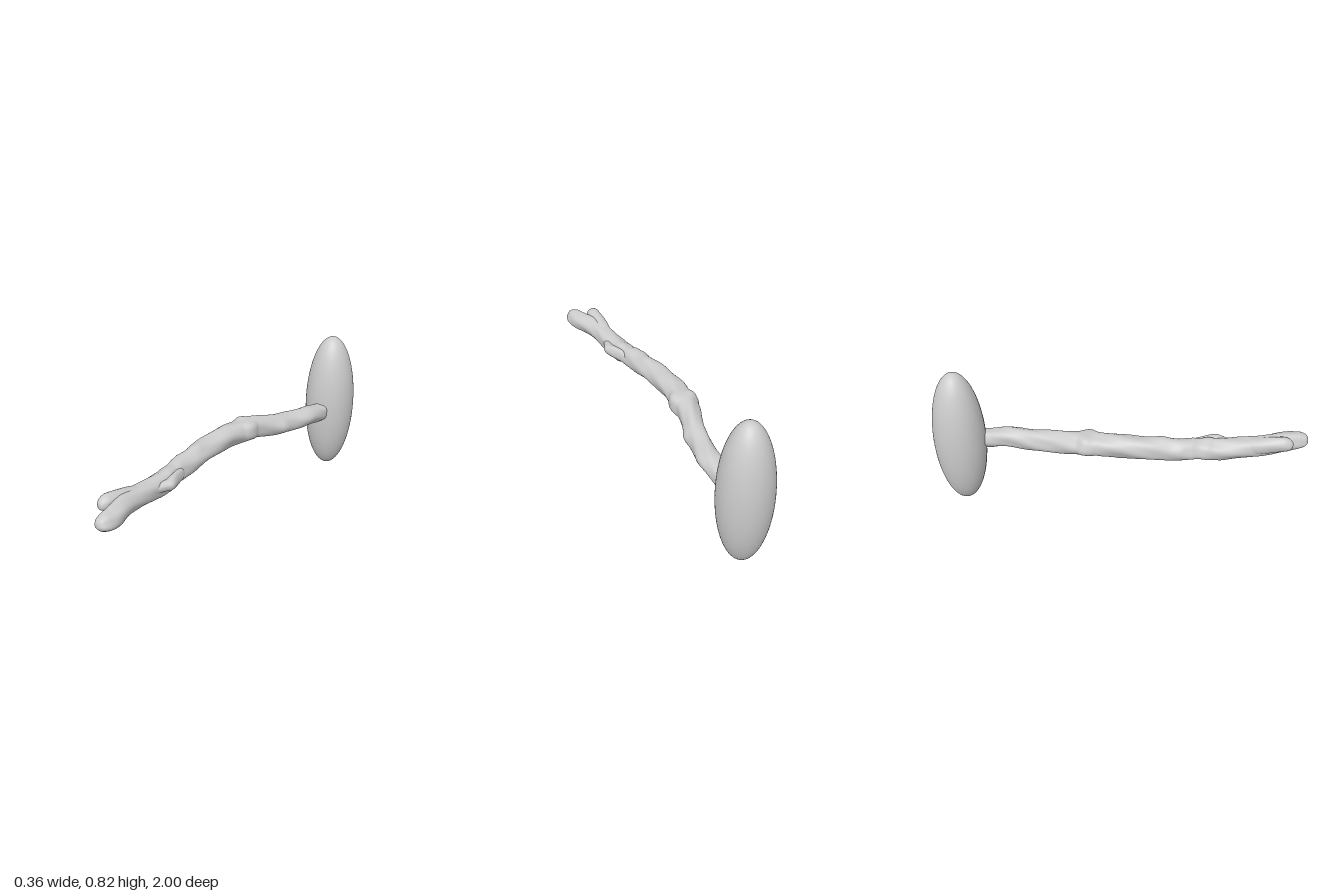
import * as THREE from 'three';

const material = new THREE.MeshStandardMaterial({ color: 0xcccccc, roughness: 0.9 });

// Small bark swellings: [z, angle, height, spread along z, spread in angle]
const swellings = [
  [-0.38, 0.1, 0.012, 0.04, 0.6], [-0.16, 2.2, 0.010, 0.03, 0.5],
  [-0.14, 0.6, 0.008, 0.03, 0.4], [0.02, -1.6, 0.008, 0.03, 0.5],
  [0.34, 2.6, 0.008, 0.03, 0.5], [0.55, -1.7, 0.007, 0.04, 0.6],
  [-0.56, 0.0, 0.006, 0.05, 0.6], [0.24, 1.2, 0.007, 0.04, 0.6],
];

function bark(z, a) {
  let h = 0.0022 * Math.sin(3 * a + 9 * z) + 0.002 * Math.sin(5 * a - 23 * z) + 0.0015 * Math.sin(31 * z + a);
  for (const [z0, a0, height, sz, sa] of swellings) {
    const da = Math.atan2(Math.sin(a - a0), Math.cos(a - a0));
    h += height * Math.exp(-(((z - z0) / sz) ** 2) - (da / sa) ** 2);
  }
  return h;
}

// Smooth loft through elliptical sections [z, x, y, rx, ry]; rough scales the bark relief
function loft(name, sections, rings, sides, rough) {
  const centres = new THREE.CatmullRomCurve3(sections.map(([z, x, y]) => new THREE.Vector3(x, y, z)));
  const radii = new THREE.CatmullRomCurve3(sections.map(([, , , rx, ry]) => new THREE.Vector3(rx, ry, 0)));
  const pos = [], index = [];
  for (let i = 0; i <= rings; i++) {
    const c = centres.getPoint(i / rings), r = radii.getPoint(i / rings);
    for (let j = 0; j < sides; j++) {
      const a = (j / sides) * Math.PI * 2;
      const h = rough * bark(c.z, a) * Math.min(1, r.x / 0.05);
      pos.push(c.x + Math.cos(a) * (Math.max(r.x, 0) + h), c.y + Math.sin(a) * (Math.max(r.y, 0) + h), c.z);
      if (i === rings) continue;
      const p = i * sides + j, q = i * sides + (j + 1) % sides;
      index.push(p, q, p + sides, q, q + sides, p + sides);
    }
  }
  const geo = new THREE.BufferGeometry();
  geo.setAttribute('position', new THREE.Float32BufferAttribute(pos, 3));
  geo.setIndex(index);
  geo.computeVertexNormals();
  const mesh = new THREE.Mesh(geo, material);
  mesh.name = name;
  return mesh;
}

export function createModel() {
  const group = new THREE.Group();
  group.name = 'branchWithEllipsoid';

  // Tall ellipsoid at the back end
  const body = new THREE.Mesh(new THREE.SphereGeometry(1, 64, 40), material);
  body.name = 'ellipsoid';
  body.scale.set(0.141, 0.408, 0.141);
  body.position.set(-0.039, 0.411, -0.859);
  group.add(body);

  // Long crooked branch, its back end buried in the ellipsoid
  group.add(loft('branch', [
    [-0.80, -0.01, 0.395, 0.0, 0.0],
    [-0.79, -0.01, 0.395, 0.043, 0.05],
    [-0.72, -0.005, 0.395, 0.046, 0.053],
    [-0.60, 0.0, 0.413, 0.053, 0.054],
    [-0.40, -0.025, 0.423, 0.055, 0.059],
    [-0.30, -0.045, 0.443, 0.057, 0.061],
    [-0.20, -0.065, 0.458, 0.063, 0.061],
    [-0.10, -0.068, 0.465, 0.063, 0.061],
    [0.00, -0.068, 0.467, 0.061, 0.061],
    [0.20, -0.048, 0.456, 0.060, 0.059],
    [0.40, -0.012, 0.443, 0.058, 0.057],
    [0.50, 0.012, 0.438, 0.058, 0.057],
    [0.60, 0.028, 0.438, 0.057, 0.056],
    [0.70, 0.045, 0.447, 0.053, 0.056],
    [0.80, 0.074, 0.454, 0.054, 0.056],
    [0.89, 0.113, 0.455, 0.053, 0.052],
    [0.95, 0.130, 0.455, 0.046, 0.046],
    [0.985, 0.132, 0.456, 0.034, 0.031],
    [0.998, 0.130, 0.456, 0.016, 0.014],
    [1.0, 0.130, 0.456, 0.0, 0.0],
  ], 190, 40, 1));

  // Shorter prong of the fork at the front
  group.add(loft('forkProng', [
    [0.64, 0.035, 0.452, 0.030, 0.035],
    [0.74, 0.036, 0.465, 0.042, 0.046],
    [0.82, 0.036, 0.481, 0.039, 0.043],
    [0.87, 0.037, 0.489, 0.037, 0.040],
    [0.90, 0.038, 0.487, 0.029, 0.031],
    [0.915, 0.039, 0.485, 0.014, 0.015],
    [0.917, 0.039, 0.485, 0.0, 0.0],
  ], 40, 28, 0.6));

  // Broken twig stub on the left side
  group.add(loft('twigStub', [
    [0.37, 0.025, 0.445, 0.0, 0.0],
    [0.40, 0.028, 0.445, 0.024, 0.034],
    [0.45, 0.045, 0.448, 0.030, 0.036],
    [0.49, 0.065, 0.452, 0.033, 0.033],
    [0.52, 0.075, 0.453, 0.034, 0.028],
    [0.55, 0.068, 0.452, 0.029, 0.025],
    [0.60, 0.055, 0.448, 0.025, 0.022],
    [0.64, 0.048, 0.445, 0.0, 0.0],
  ], 40, 24, 0.6));

  return group;
}
